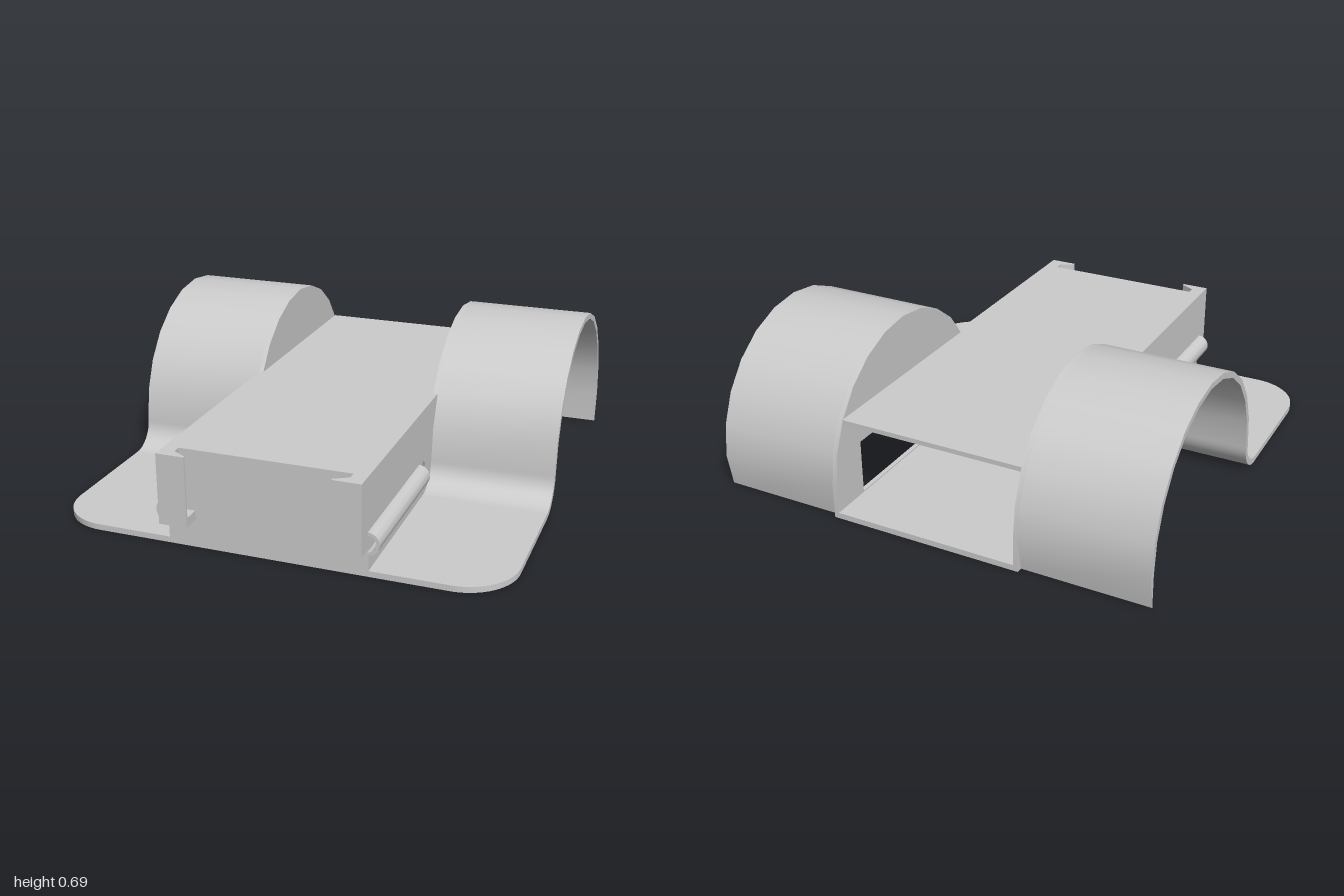
import * as THREE from 'three';
import { toCreasedNormals } from 'three/addons/utils/BufferGeometryUtils.js';

const MAT = new THREE.MeshStandardMaterial({ color: 0xcccccc });
const T = 0.025; // sheet thickness
const ARC = { z: -0.46, y: 0.145, r: 0.54 }; // arch centre and outer radius

export function createModel() {
  const model = new THREE.Group();

  const add = (name, geometry) => {
    const mesh = new THREE.Mesh(geometry, MAT);
    mesh.name = name;
    model.add(mesh);
  };
  const box = (name, x0, x1, y0, y1, z0, z1) =>
    add(name, new THREE.BoxGeometry(x1 - x0, y1 - y0, z1 - z0)
      .translate((x0 + x1) / 2, (y0 + y1) / 2, (z0 + z1) / 2));
  const extrude = (shape, depth, curveSegments) =>
    new THREE.ExtrudeGeometry(shape, { depth, curveSegments, bevelEnabled: false });
  // side profile (z, y) swept from |x| = a to b on side s
  const sweepX = (name, shape, s, a, b, segments) =>
    add(name, toCreasedNormals(extrude(shape, b - a, segments)
      .rotateY(-Math.PI / 2).translate(s > 0 ? b : -a, 0, 0), 0.5));
  // plan outline (x, -z) raised from y0 to y1
  const raise = (name, shape, y0, y1, segments = 8) =>
    add(name, toCreasedNormals(extrude(shape, y1 - y0, segments)
      .rotateX(-Math.PI / 2).translate(0, y0, 0), 0.5));
  const polygon = (points) => new THREE.Shape(points.map(([x, y]) => new THREE.Vector2(x, y)));

  // side wall: long box side running into a full arch disc
  const wall = new THREE.Shape();
  wall.moveTo(-1, 0);
  wall.lineTo(0.92, 0);
  wall.lineTo(0.92, 0.42);
  wall.lineTo(0.005, 0.42);
  wall.absarc(ARC.z, ARC.y, ARC.r, Math.PI / 6, Math.PI, false);
  wall.closePath();
  const windowHole = new THREE.Path();
  windowHole.moveTo(-0.82, 0.03);
  windowHole.lineTo(-0.82, 0.265);
  windowHole.lineTo(-0.33, 0.265);
  windowHole.lineTo(-0.33, 0.03);
  windowHole.closePath();
  const pinHole = new THREE.Path();
  pinHole.absarc(0.21, 0.145, 0.038, 0, Math.PI * 2, true);
  wall.holes.push(windowHole, pinHole);

  // arch sheet with a fillet flowing into the flat flange
  const arch = new THREE.Shape();
  arch.moveTo(-1, 0);
  arch.absarc(ARC.z, ARC.y, ARC.r, Math.PI, 0, true);
  arch.absarc(0.2, ARC.y, 0.12, Math.PI, Math.PI * 1.5, false);
  arch.lineTo(0.2, 0);
  arch.absarc(0.2, ARC.y, 0.145, Math.PI * 1.5, Math.PI, true);
  arch.absarc(ARC.z, ARC.y, ARC.r - T, 0, Math.PI, false);
  arch.lineTo(-1 + T, 0);
  arch.closePath();

  for (const s of [1, -1]) {
    const side = s > 0 ? 'left' : 'right';
    sweepX(side + 'SideWall', wall, s, 0.4, 0.42, 5);
    sweepX(side + 'Arch', arch, s, 0.42, 0.96, 6);

    // flat flange with a rounded front corner
    const flange = new THREE.Shape();
    flange.moveTo(s * 0.42, -0.2);
    flange.lineTo(s * 0.96, -0.2);
    flange.lineTo(s * 0.96, -0.7);
    flange.absarc(s * 0.74, -0.7, 0.22, s > 0 ? 0 : Math.PI, -Math.PI / 2 + (s > 0 ? 0 : Math.PI * 2), s > 0);
    flange.lineTo(s * 0.42, -0.92);
    flange.closePath();
    raise(side + 'Flange', flange, 0, T);

    // half-round hollow sleeve along the side wall
    const a0 = s > 0 ? -Math.PI / 2 : Math.PI / 2;
    const sleeve = new THREE.Shape();
    sleeve.absarc(s * 0.42, 0.145, 0.048, a0, a0 + Math.PI, false);
    sleeve.absarc(s * 0.42, 0.145, 0.035, a0 + Math.PI, a0, true);
    sleeve.closePath();
    add(side + 'Sleeve', toCreasedNormals(extrude(sleeve, 0.665, 10).translate(0, 0, 0.265), 0.5));

    // front clip: arm with an inward barb, closed by a foot below
    raise(side + 'ClipArm', polygon([
      [s * 0.42, -0.92], [s * 0.42, -1], [s * 0.3, -1],
      [s * 0.3, -0.99], [s * 0.36, -0.955], [s * 0.36, -0.92],
    ]), 0.16, 0.42);
    box(side + 'ClipFoot', Math.min(s * 0.3, s * 0.42), Math.max(s * 0.3, s * 0.42), 0.12, 0.16, 0.92, 1);

    // short boss under the top, in the front corner
    add(side + 'Boss', toCreasedNormals(
      new THREE.CylinderGeometry(0.085, 0.085, 0.05, 24).translate(s * 0.3, 0.38, 0.82), 0.5));
  }

  // central housing, open below at the front and open at the rear
  box('topPlate', -0.4, 0.4, 0.4, 0.42, -0.93, 0.92);
  box('frontWall', -0.4, 0.4, 0, 0.4, 0.9, 0.92);
  box('rearFloor', -0.4, 0.4, 0, T, -1, -0.04);

  // partition between the two bays, with a small cable hole
  const partition = polygon([[-0.4, 0], [0.4, 0], [0.4, 0.4], [-0.4, 0.4]]);
  const cableHole = new THREE.Path();
  cableHole.absarc(0.13, 0.3, 0.03, 0, Math.PI * 2, true);
  partition.holes.push(cableHole);
  add('partition', toCreasedNormals(extrude(partition, 0.02, 8).translate(0, 0, -0.04), 0.5));

  return model;
}
